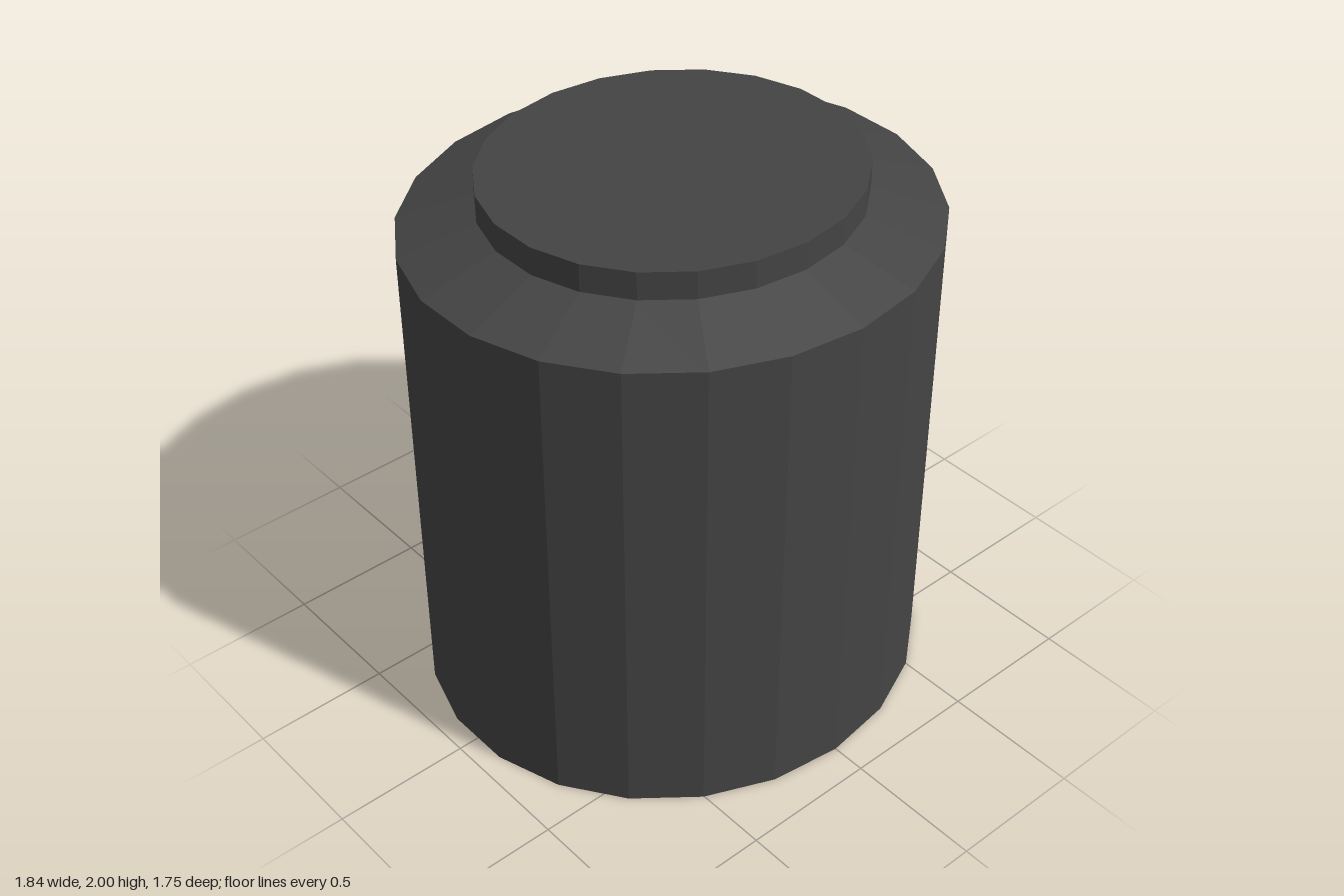
import * as THREE from 'three';

const SIDES = 22;
const DEPTH_RATIO = 0.941; // slightly oval: shallower in z than in x

export function createModel() {
  const model = new THREE.Group();
  model.name = 'canister';
  const material = new THREE.MeshStandardMaterial({ color: 0x444444, flatShading: true });

  function addTurned(name, profile) {
    const points = profile.map(([r, y]) => new THREE.Vector2(r, y));
    const geometry = new THREE.LatheGeometry(points, SIDES);
    geometry.scale(1, 1, DEPTH_RATIO);
    const mesh = new THREE.Mesh(geometry, material);
    mesh.name = name;
    model.add(mesh);
  }

  // Closed base, straight wall and sloping shoulder
  addTurned('body', [[0, 0], [0.93, 0], [0.93, 1.815], [0.661, 1.9]]);
  // Short neck with a flat top
  addTurned('cap', [[0.661, 1.9], [0.661, 2], [0, 2]]);

  return model;
}
